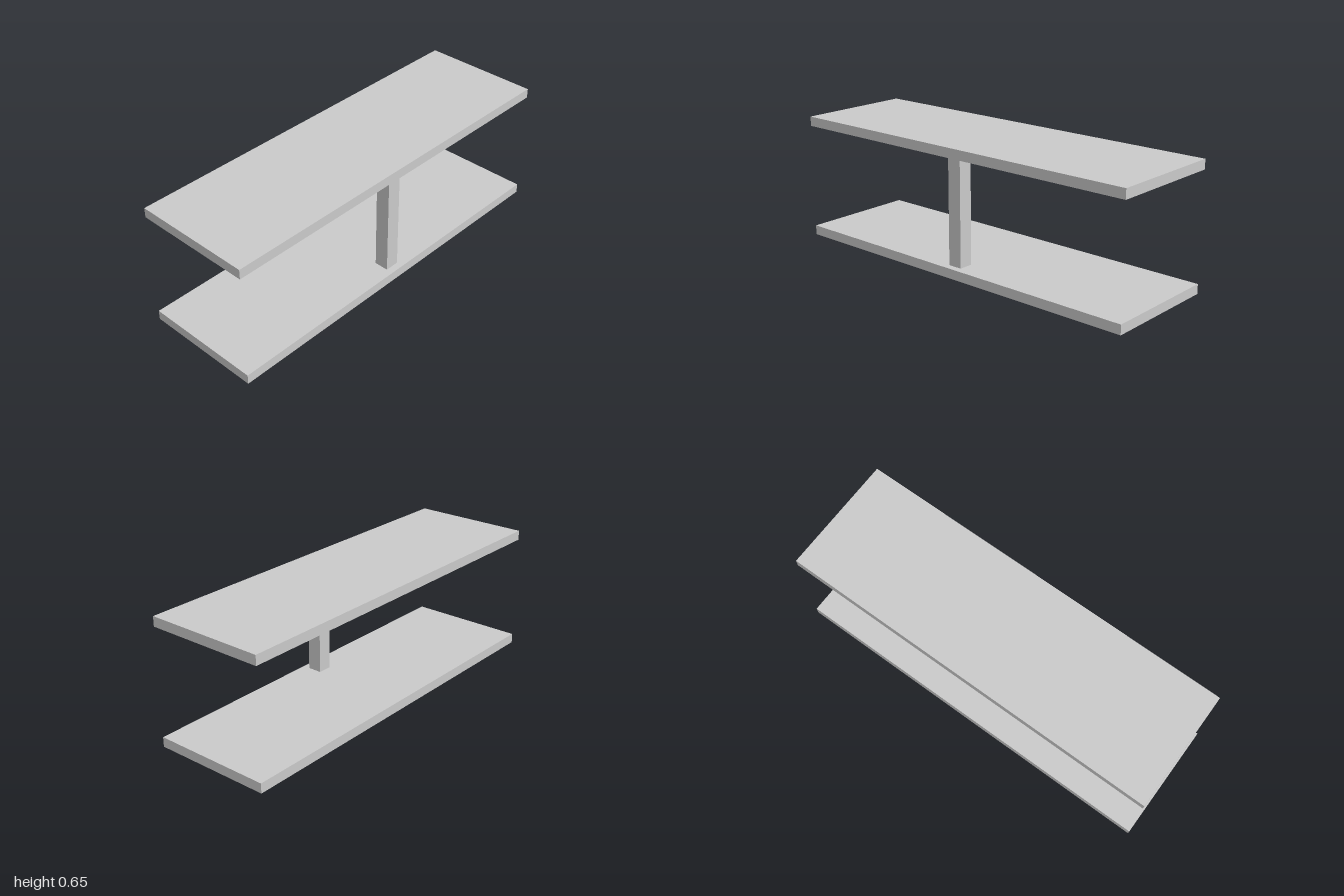
import * as THREE from 'three';

const LENGTH = 2, DEPTH = 0.62, THICKNESS = 0.05, HEIGHT = 0.652;
const POST = 0.075, POST_Z = 0.236;

export function createModel() {
  const model = new THREE.Group();
  model.name = 'twoTierShelf';
  const material = new THREE.MeshStandardMaterial({ color: 0xcccccc, flatShading: true });

  // Adds a box whose underside sits at the given height
  const addBox = (name, width, height, depth, bottom, z = 0) => {
    const mesh = new THREE.Mesh(new THREE.BoxGeometry(width, height, depth), material);
    mesh.name = name;
    mesh.position.set(0, bottom + height / 2, z);
    model.add(mesh);
  };

  // Two matching boards
  addBox('lowerBoard', LENGTH, THICKNESS, DEPTH, 0);
  addBox('upperBoard', LENGTH, THICKNESS, DEPTH, HEIGHT - THICKNESS);

  // Single square post near the front edge
  addBox('post', POST, HEIGHT - 2 * THICKNESS, POST, THICKNESS, POST_Z);

  return model;
}
